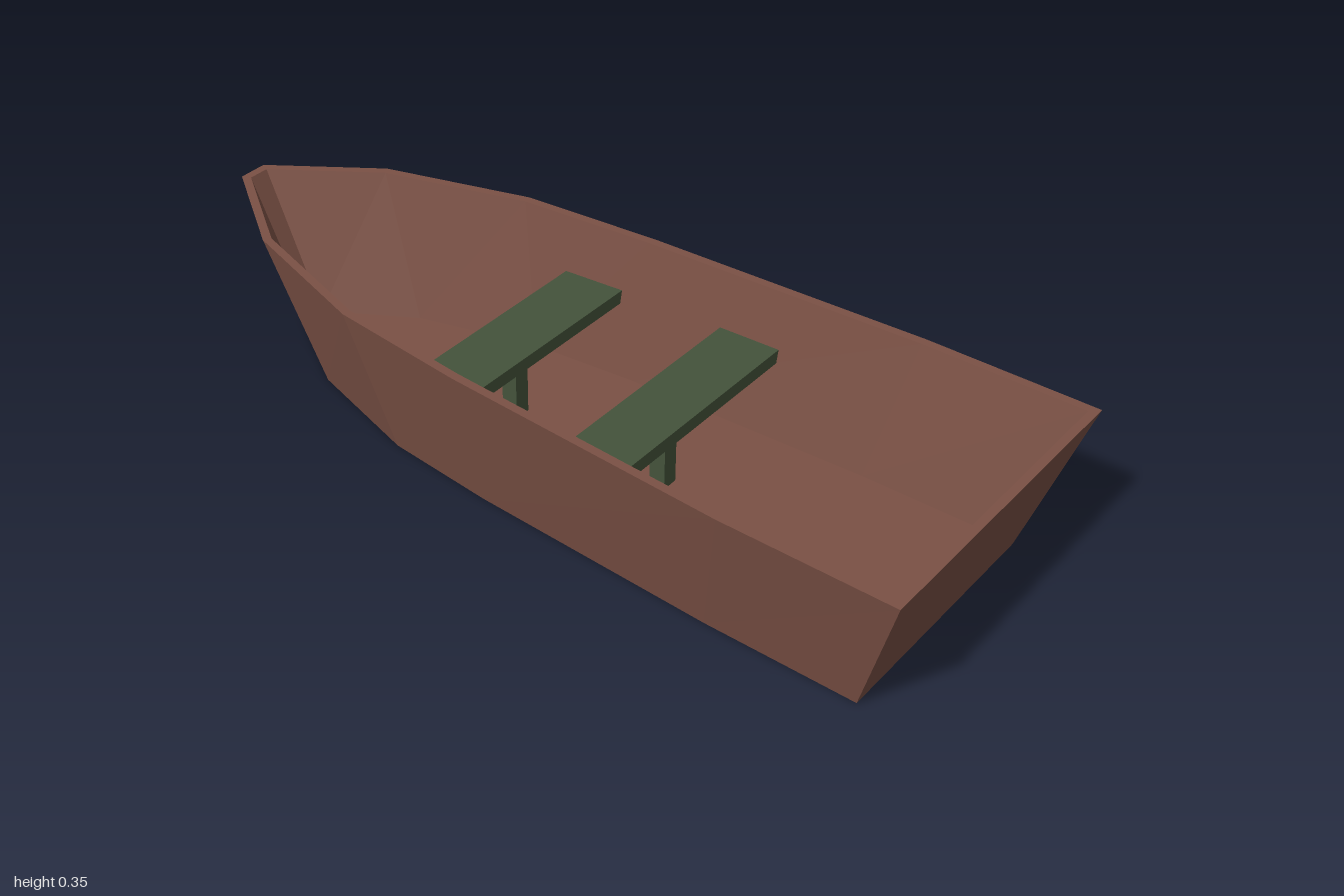
import * as THREE from 'three';

const wood = new THREE.MeshStandardMaterial({ color: 0x7b5145, flatShading: true });
wood.name = 'brown wood';
const green = new THREE.MeshStandardMaterial({ color: 0x44533b, flatShading: true });
green.name = 'green paint';

// Closed ring from [halfWidth, z] stations listed stern to bow, at height y
function ring(y, stations) {
  const left = stations.map(([x, z]) => [x, y, z]);
  const right = stations.map(([x, z]) => [-x, y, z]).reverse();
  return [...left, ...right];
}

function quadMesh(name, quads) {
  const pos = quads.flatMap(([a, b, c, d]) => [a, b, c, a, c, d]).flat();
  const geo = new THREE.BufferGeometry();
  geo.setAttribute('position', new THREE.Float32BufferAttribute(pos, 3));
  geo.computeVertexNormals();
  const mesh = new THREE.Mesh(geo, wood);
  mesh.name = name;
  return mesh;
}

// Band of faces joining two rings
function band(name, a, b) {
  const n = a.length;
  return quadMesh(name, a.map((p, i) => [p, a[(i + 1) % n], b[(i + 1) % n], b[i]]));
}

// Flat panel filling a ring with strips across the boat
function panel(name, r, facesUp) {
  const quads = [];
  for (let i = 0; i < r.length / 2 - 1; i++) {
    const q = [r[i], r[i + 1], r[r.length - 2 - i], r[r.length - 1 - i]];
    quads.push(facesUp ? q : q.reverse());
  }
  return quadMesh(name, quads);
}

function box(name, w, h, d, x, y, z) {
  const mesh = new THREE.Mesh(new THREE.BoxGeometry(w, h, d), green);
  mesh.name = name;
  mesh.position.set(x, y, z);
  return mesh;
}

// Bench with a centre post; the plank narrows toward the bow
function bench(name, z, frontHalf, backHalf) {
  const group = new THREE.Group();
  group.name = name;
  const plank = box('plank', 2, 0.032, 0.15, 0, 0.204, z);
  const p = plank.geometry.attributes.position;
  for (let i = 0; i < p.count; i++) {
    p.setX(i, p.getX(i) * (p.getZ(i) > 0 ? frontHalf : backHalf));
  }
  plank.geometry.computeVertexNormals();
  group.add(plank, box('post', 0.04, 0.18, 0.04, 0, 0.1, z));
  return group;
}

export function createModel() {
  const boat = new THREE.Group();
  boat.name = 'rowingBoat';

  // Hull cross-section rings
  const keel = ring(0, [[0.3, 0.89], [0.297, 0.53], [0.27, -0.07], [0.245, -0.34], [0.16, -0.635], [0.028, -0.84]]);
  const rimOuter = ring(0.35, [[0.378, 1], [0.376, 0.6], [0.341, -0.08], [0.308, -0.415], [0.203, -0.76], [0.035, -1]]);
  const rimInner = ring(0.35, [[0.358, 0.98], [0.356, 0.6], [0.321, -0.08], [0.289, -0.41], [0.186, -0.75], [0.025, -0.98]]);
  const floor = ring(0.015, [[0.285, 0.875], [0.282, 0.53], [0.255, -0.07], [0.228, -0.335], [0.145, -0.625], [0.022, -0.83]]);

  boat.add(
    panel('bottom', keel, false),
    band('outerHull', keel, rimOuter),
    band('gunwale', rimOuter, rimInner),
    band('innerHull', rimInner, floor),
    panel('floor', floor, true),
    bench('sternBench', 0.205, 0.317, 0.31),
    bench('bowBench', -0.205, 0.29, 0.275)
  );
  return boat;
}
